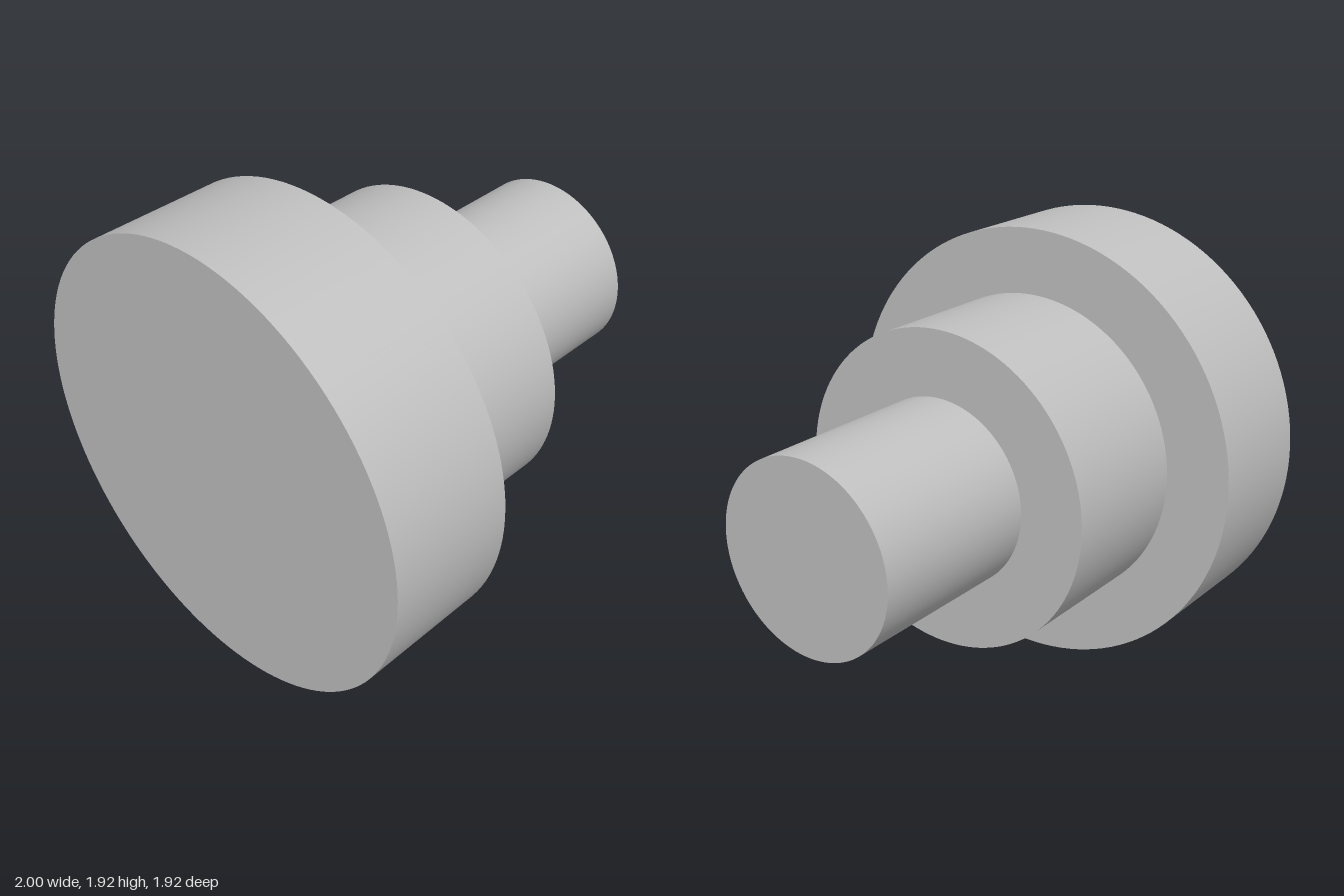
import * as THREE from 'three';

export function createModel() {
  const group = new THREE.Group();
  group.name = 'steppedShaft';
  const metal = new THREE.MeshStandardMaterial({ color: 0xc0c0c0 });
  metal.name = 'light grey';
  const axisHeight = 0.96;

  // One round step of the shaft, running along x from x0 to x1
  function addStep(name, radius, x0, x1) {
    const geometry = new THREE.CylinderGeometry(radius, radius, x1 - x0, 128);
    geometry.rotateZ(-Math.PI / 2);
    const mesh = new THREE.Mesh(geometry, metal);
    mesh.name = name;
    mesh.position.set((x0 + x1) / 2, axisHeight, 0);
    group.add(mesh);
  }

  addStep('flange', 0.96, -1, -0.44);
  addStep('shoulder', 0.68, -0.44, 0.2);
  addStep('spindle', 0.4, 0.2, 1);

  return group;
}
